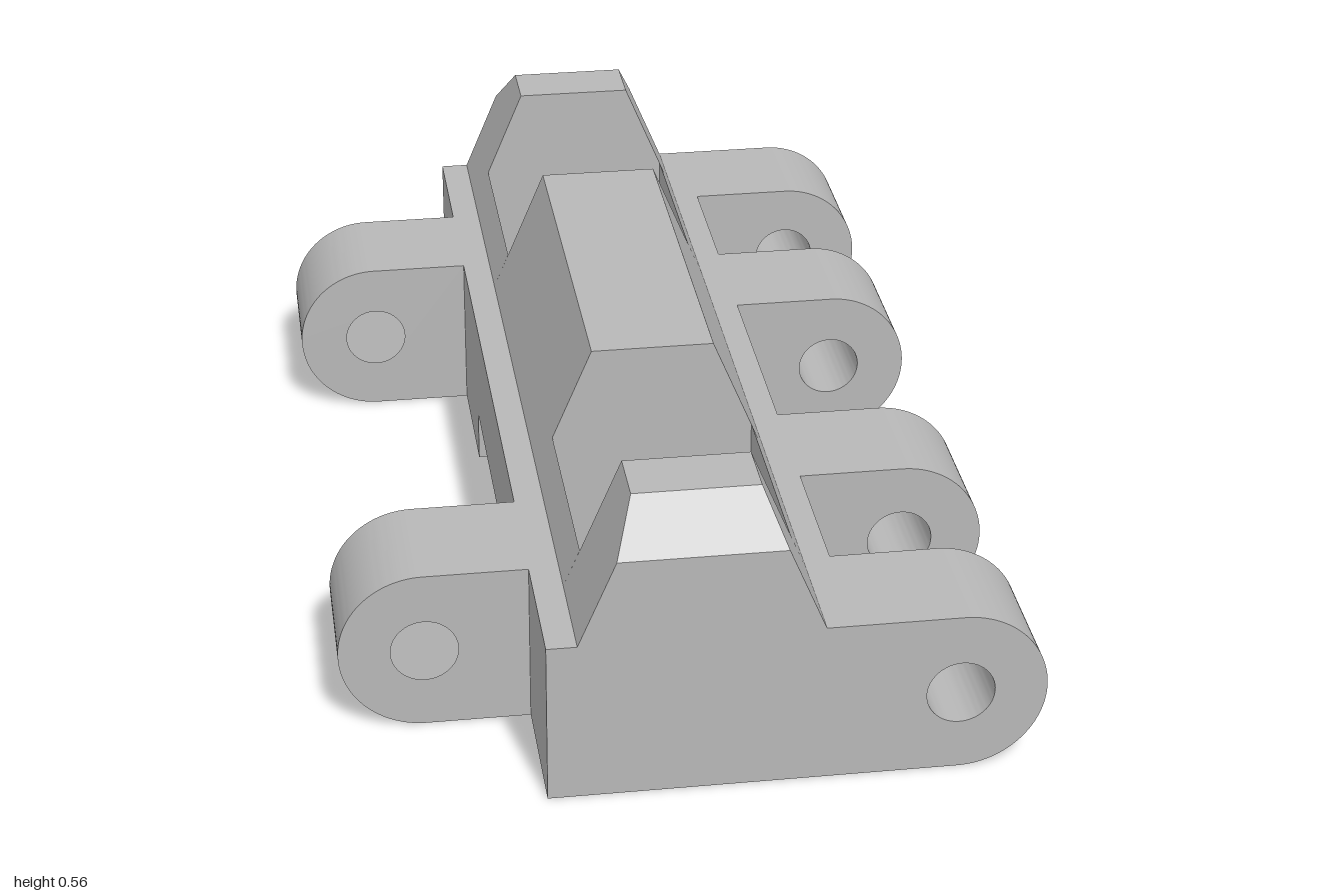
import * as THREE from 'three';
import { toCreasedNormals } from 'three/addons/utils/BufferGeometryUtils.js';
import { ConvexGeometry } from 'three/addons/geometries/ConvexGeometry.js';

const XL = -0.275, XR = 0.27;      // sides of the body
const DECK = 0.315, TOP = 0.565;   // deck and ridge heights
const WIN = 0.19, RIM = 0.387;     // window half-width and rim height
const PIN_X = 0.467, PIN_Y = DECK / 2, PIN_R = 0.062;

export function createModel() {
  const model = new THREE.Group();
  const grey = new THREE.MeshStandardMaterial({ color: 0xb8b8b8 });
  grey.name = 'matte grey';

  const add = (name, geometry) => {
    const mesh = new THREE.Mesh(geometry, grey);
    mesh.name = name;
    model.add(mesh);
  };

  // Extrude an x/y outline between two z positions
  const slab = (name, shape, z0, z1) => {
    const g = new THREE.ExtrudeGeometry(shape, { depth: z1 - z0, bevelEnabled: false, curveSegments: 32 });
    g.translate(0, 0, z0);
    add(name, toCreasedNormals(g, 0.5));
  };
  const outline = (points) => new THREE.Shape(points.map(([x, y]) => new THREE.Vector2(x, y)));

  // Body section with the ridge, from a given floor height
  const ridged = (floor) => outline([
    [XL, floor], [XR, floor], [XR, DECK], [0.22, DECK],
    [0.115, TOP], [-0.115, TOP], [-0.22, DECK], [XL, DECK],
  ]);

  // Centre block, with a cross channel underneath
  slab('centreBlock', ridged(0.105), -0.225, 0.225);

  for (const s of [1, -1]) {
    const side = s > 0 ? 'front' : 'back';
    const span = (name, shape, a, b) => slab(side + name, shape, Math.min(s * a, s * b), Math.max(s * a, s * b));

    span('CentreFoot', ridged(0), 0.225, 0.39);

    // Rails beside the square window
    span('RightRail', outline([[WIN, 0], [XR, 0], [XR, DECK], [0.22, DECK], [WIN, RIM]]), 0.39, 0.8);
    span('LeftRail', outline([[XL, 0], [-WIN, 0], [-WIN, RIM], [-0.22, DECK], [XL, DECK]]), 0.39, 0.8);

    // End block and its chamfered ridge
    span('EndBlock', outline([[XL, 0], [XR, 0], [XR, DECK], [XL, DECK]]), 0.8, 1);
    const corners = [];
    for (const [x, y, z] of [
      [0.22, DECK, 0.8], [0.115, TOP, 0.8], [0.115, TOP, 0.915], [0.1507, 0.48, 1], [0.22, DECK, 1],
    ]) corners.push(new THREE.Vector3(x, y, s * z), new THREE.Vector3(-x, y, s * z));
    add(side + 'EndRidge', new ConvexGeometry(corners));

    // Hinge knuckles: two on one side, one on the other
    span('OuterKnuckle', knuckle(1, XR), 0.765, 1);
    span('InnerKnuckle', knuckle(1, XR), 0.235, 0.475);
    span('OppositeKnuckle', knuckle(-1, -XL), 0.495, 0.735);
  }
  return model;
}

// Rounded lug with a pin hole, pointing to +x or -x
function knuckle(dir, root) {
  const shape = new THREE.Shape();
  shape.moveTo(dir * root, 0);
  shape.lineTo(dir * PIN_X, 0);
  shape.absarc(dir * PIN_X, PIN_Y, PIN_Y, -Math.PI / 2, Math.PI / 2, dir < 0);
  shape.lineTo(dir * root, DECK);
  const hole = new THREE.Path();
  hole.absarc(dir * PIN_X, PIN_Y, PIN_R, 0, Math.PI * 2, true);
  shape.holes.push(hole);
  return shape;
}
